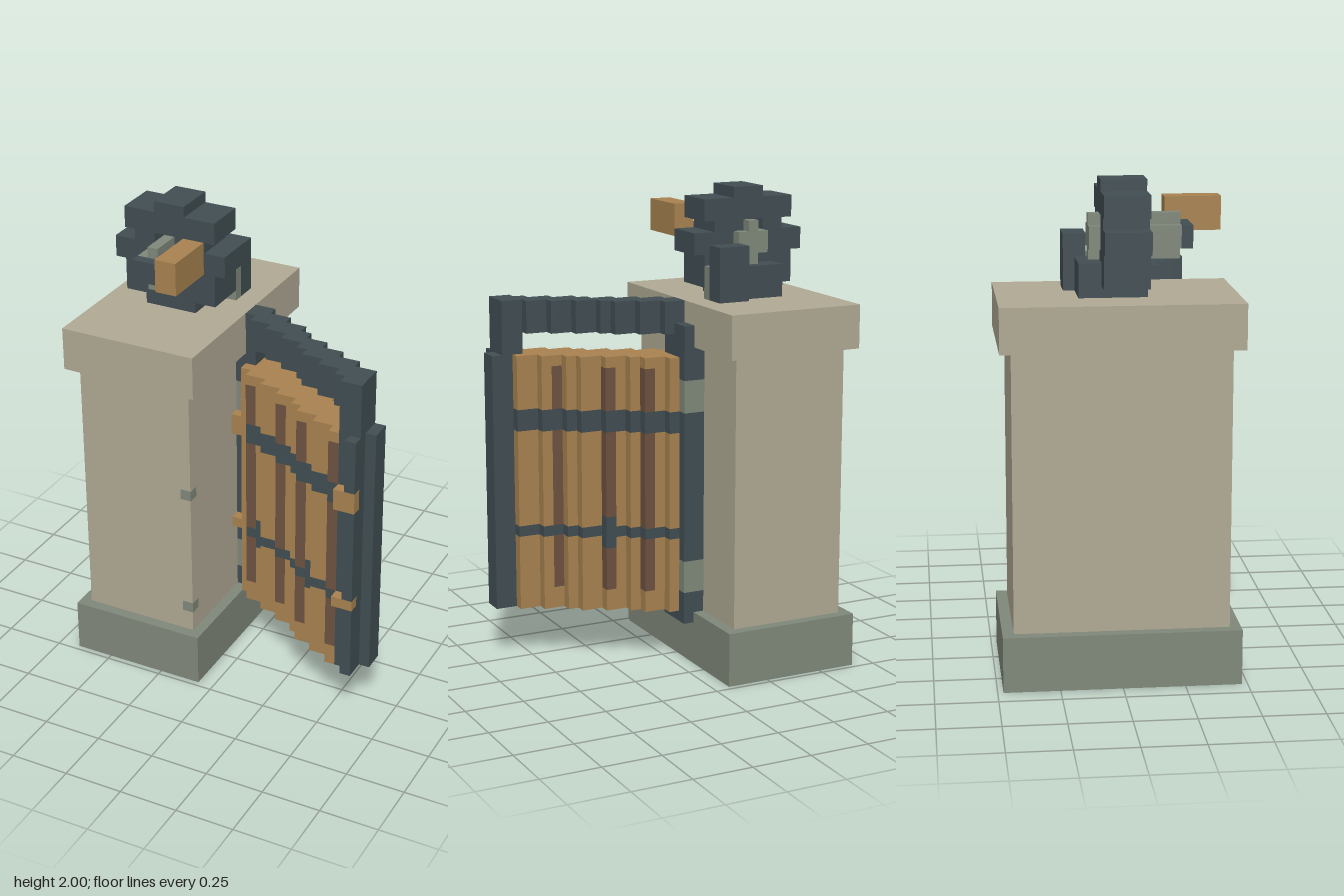
import * as THREE from 'three';

// Everything sits on a block grid: 29 wide, 44 high, 21 deep.
const U = 1 / 22;

const mat = (name, color) => {
  const m = new THREE.MeshStandardMaterial({ color });
  m.name = name;
  return m;
};

export function createModel() {
  const root = new THREE.Group();
  root.name = 'gateWithWinch';
  const stone = mat('paleStone', 0xb0aa94);
  const slate = mat('greyGreenStone', 0x80887a);
  const iron = mat('darkIron', 0x414e53);
  const wood = mat('wood', 0xa88250);
  const darkWood = mat('darkWood', 0x6d5240);

  const group = (name) => {
    const g = new THREE.Group();
    g.name = name;
    root.add(g);
    return g;
  };

  // Box between grid lines: x, y and z are [from, to]
  const box = (parent, name, m, x, y, z) => {
    const geo = new THREE.BoxGeometry((x[1] - x[0]) * U, (y[1] - y[0]) * U, (z[1] - z[0]) * U);
    const mesh = new THREE.Mesh(geo, m);
    mesh.name = name;
    mesh.position.set(((x[0] + x[1]) / 2 - 14.5) * U, ((y[0] + y[1]) / 2) * U, ((z[0] + z[1]) / 2 - 10.5) * U);
    parent.add(mesh);
  };

  // Upright stack of boxes: list of [top, material], starting at y0
  const stack = (parent, name, x, z, y0, layers) => {
    for (const [top, m] of layers) {
      box(parent, name, m, x, [y0, top], z);
      y0 = top;
    }
  };

  // Stone pillar
  const pillar = group('pillar');
  box(pillar, 'pillarBase', slate, [0, 13], [0, 5], [0, 21]);
  box(pillar, 'pillarShaft', stone, [1, 12], [5, 30], [1, 20]);
  box(pillar, 'pillarCap', stone, [0, 13], [30, 34], [0, 21]);
  for (const y of [7, 19]) box(pillar, 'cornerChip', slate, [11, 12.05], [y, y + 1], [19, 20.05]);

  // Hinge post with pale collars
  const gate = group('gate');
  stack(gate, 'hingePost', [12, 14], [7, 11], 4,
    [[7, iron], [10, slate], [24, iron], [27, slate], [32, iron]]);

  // Gate planks: [back, front] depth of each step, from x = 14
  const steps = [[8, 13], [9, 13], [9, 14], [10, 14], [11, 15], [11, 15], [12, 16],
    [12, 17], [13, 17], [14, 18], [14, 18], [15, 19]];
  const plank = (x, z, strip, cross) => {
    const m = strip ? darkWood : wood;
    const c = cross ? iron : m;
    stack(gate, 'plank', [x, x + 1], z, 5, [[7, wood], [11, m], [12, c], [13, iron],
      [14, c], [22, m], [24, iron], [28, m], [29, wood]]);
  };
  box(gate, 'firstPlank', wood, [13, 14], [5, 29], [11, 12]);
  steps.forEach(([back, front], i) => {
    const x = 14 + i, mid = (back + front) / 2;
    plank(x, [mid, front], [14, 18, 21, 25].includes(x), [15, 22].includes(x));
    plank(x, [back, mid], [16, 19, 23].includes(x), x === 19);
  });
  plank(26, [15, 16], false, false);

  // Top rail, stepped like the planks
  const rail = [[9, 11], [9, 12], [10, 12], [10, 13], [11, 13], [11, 14], [12, 14],
    [13, 15], [13, 16], [14, 16], [14, 17], [15, 17], [15, 18]];
  rail.forEach((z, i) => box(gate, 'topRail', iron, [13 + i, 14 + i], [31, 34], z));

  // Closing stile with a narrow outer edge
  box(gate, 'stile', iron, [26, 28], [5, 34], [16, 19]);
  box(gate, 'stileEdge', iron, [28, 29], [5, 29], [16, 18]);
  for (const y of [[5, 12], [13, 22], [24, 29]]) box(gate, 'stileFace', iron, [27, 28], y, [19, 20]);

  // Wooden strap ends on both sides
  for (const y of [[12, 13], [22, 24]]) {
    box(gate, 'strapEnd', wood, [12, 13], y, [11, 12]);
    box(gate, 'strapEnd', wood, [26, 28], y, [19, 20]);
  }

  // Winch wheel: teeth around an open centre
  const winch = group('winch');
  const teeth = [
    [[5, 8], [41, 44]], [[2, 5], [41, 43]], [[8, 11], [41, 43]],
    [[3, 5], [40, 41]], [[7, 10], [40, 41]],
    [[1, 5], [38, 40]], [[8, 12], [38, 40]],
    [[2, 6], [35, 38]], [[7, 11], [35, 38]], [[6, 7], [35, 37]], [[4, 9], [34, 35]],
  ];
  for (const [x, y] of teeth) box(winch, 'wheelTooth', iron, x, y, [9, 13]);

  // Axle with a cross-shaped section
  box(winch, 'axle', slate, [5, 8], [38, 40], [8, 16]);
  box(winch, 'axleRib', slate, [6, 7], [37, 41], [8, 16]);

  // Crank arm and handle
  box(winch, 'crankArm', iron, [5, 9], [38, 40], [16, 17]);
  box(winch, 'crankElbow', iron, [8, 9], [38, 40], [15, 16]);
  box(winch, 'crankHandle', wood, [9, 11], [39, 42], [15, 20]);

  // Rear bracket and catch
  box(winch, 'bracket', iron, [4, 8], [34, 37], [7, 9]);
  box(winch, 'catchBlock', iron, [8, 11], [34, 39], [6, 8]);
  box(winch, 'catchSpacer', slate, [9, 11], [34, 37], [8, 9]);

  return root;
}
